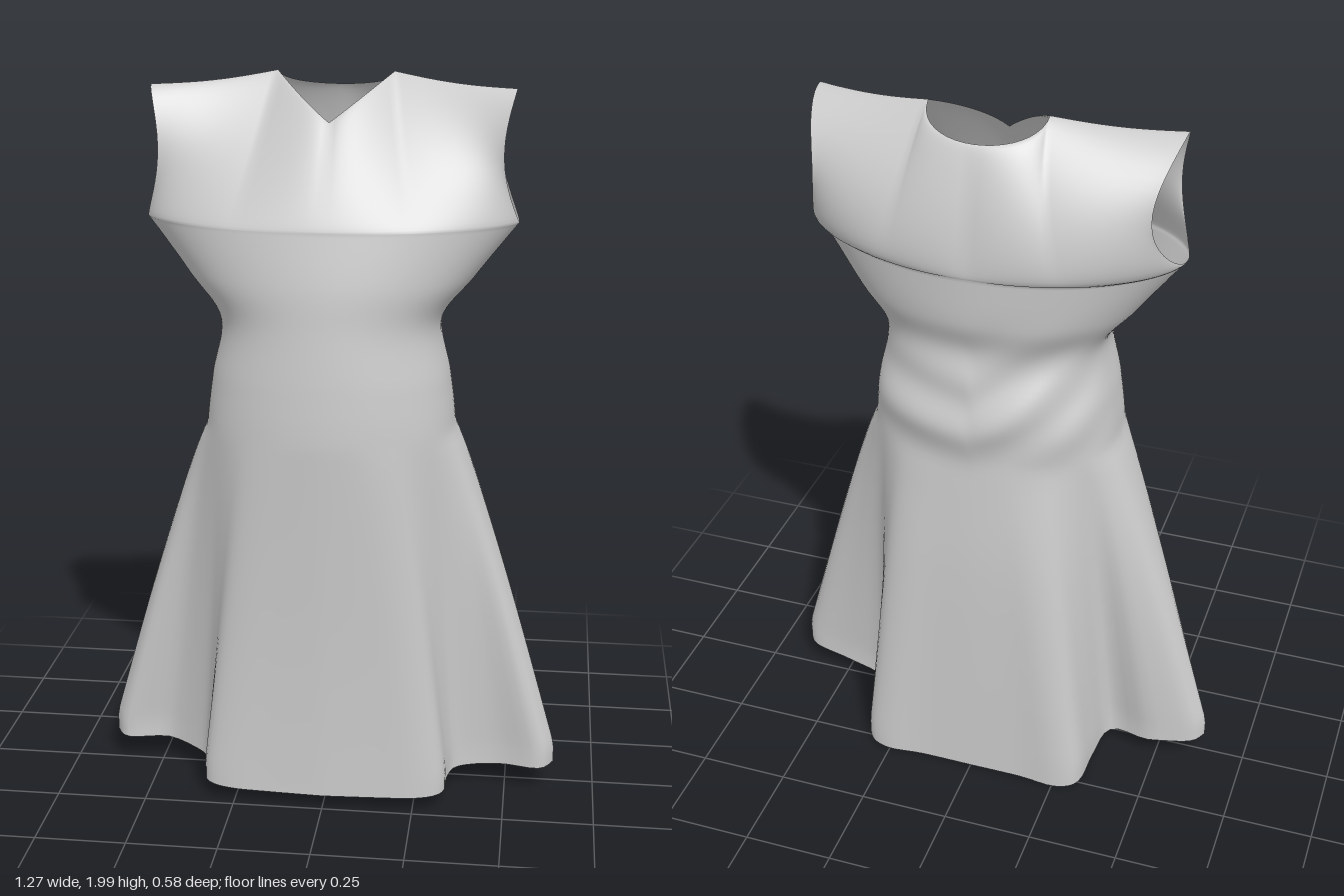
import * as THREE from 'three';
import { mergeGeometries, mergeVertices } from 'three/addons/utils/BufferGeometryUtils.js';

const V2 = (p) => new THREE.Vector2(...p);
const { lerp, smoothstep, clamp } = THREE.MathUtils;

// Levels from hem to underarm: y, half width, front depth, back depth, side sharpness
const levels = [
  [0, 0.34, 0.25, 0.28, 0.8], [0.35, 0.345, 0.265, 0.28, 0.8], [0.7, 0.345, 0.28, 0.275, 0.8],
  [1.03, 0.34, 0.288, 0.258, 0.8], [1.2, 0.322, 0.283, 0.272, 0.8], [1.36, 0.297, 0.27, 0.235, 0.8],
  [1.48, 0.385, 0.26, 0.265, 0.95], [1.62, 0.495, 0.235, 0.278, 1.2],
];
const column = (i) => new THREE.SplineCurve(levels.map((l) => V2([l[i], l[0]])));
const [widthCurve, frontCurve, backCurve, sharpCurve] = [1, 2, 3, 4].map(column);

// Hem outline from centre to side: a flat panel, a deep fold, then a narrow side flare
const hemFront = new THREE.SplineCurve([[0, 0.25], [0.15, 0.243], [0.27, 0.236], [0.332, 0.205],
  [0.34, 0.13], [0.37, 0.075], [0.48, 0.06], [0.595, 0.088], [0.636, 0.04]].map(V2));
const hemBack = new THREE.SplineCurve([[0, -0.28], [0.15, -0.28], [0.26, -0.288], [0.322, -0.255],
  [0.335, -0.15], [0.36, -0.05], [0.48, -0.02], [0.6, 0.0], [0.636, 0.04]].map(V2));

// Skirt and bodice; u runs -1..1 across a half, t 0..1 from hem to underarm
function lowerPoint(u, t, front) {
  const s = Math.abs(u), side = Math.sign(u), a = s * Math.PI / 2;
  const { x: w, y: y0 } = widthCurve.getPoint(t);
  const depth = front ? frontCurve.getPoint(t).x : -backCurve.getPoint(t).x;
  const c = Math.max(0, Math.cos(a));
  let x = w * Math.sin(a);
  let z = depth * Math.pow(c, sharpCurve.getPoint(t).x);
  // flare out toward the folded hem
  const k = Math.pow(clamp((1.06 - y0) / 1.0, 0, 1), 0.9);
  const hem = (front ? hemFront : hemBack).getPoint(s);
  const twist = side < 0 ? -0.06 * smoothstep(hem.x, 0.34, 0.5) : 0;
  x = lerp(x, hem.x, k);
  z = lerp(z, hem.y + twist, k);
  // hem dips at the centre, lowest at the back
  const low = front ? lerp(0.045, 0.085, smoothstep(s, 0.1, 1)) : lerp(0.005, 0.085, smoothstep(s, 0.2, 1));
  const y = y0 + low * Math.max(0, 1 - y0 / 1.1);
  // gathered cloth at the back of the waist
  if (!front) {
    const gather = Math.exp(-(((y0 - 1.25) / 0.15) ** 2)) * (1 - s ** 4);
    z += 0.01 * gather * Math.sin(32 * y0 - 16 * x + 5 * u);
  }
  return [side * x, y, z];
}

// Top edge: neckline first, then the shoulder seam
const NECK = 10 / 32;
function topEdge(s, front) {
  if (s > NECK) {
    const q = (s - NECK) / (1 - NECK);
    return [lerp(0.155, 0.48, q), lerp(1.997, 1.965, q) - 0.008 * Math.sin(q * Math.PI), lerp(-0.09, -0.005, q)];
  }
  const q = s / NECK, b = q * Math.PI / 2;
  return front
    ? [0.155 * q, 1.88 + 0.117 * q, 0.07 - 0.16 * Math.pow(q, 1.6)]
    : [0.155 * Math.sin(b), 1.95 + 0.047 * q * q, -0.09 - 0.115 * Math.cos(b)];
}

// Yoke from underarm to shoulder; its outer edges are the armholes
function yokePoint(u, t, front) {
  const s = Math.abs(u), side = Math.sign(u);
  const v = 0.5 - 0.5 * Math.cos(Math.PI * t);
  const base = lowerPoint(u, 1, front), top = topEdge(s, front);
  const arc = Math.max(0, Math.sin(Math.PI * v));
  const bulge = front ? 0.015 + 0.055 * s * s : -(0.02 + 0.155 * s);
  const pinch = (front ? 0.035 : 0.05) * s * s * arc;
  return [
    side * (lerp(Math.abs(base[0]), top[0], v) - pinch),
    lerp(base[1], top[1], v),
    lerp(base[2], top[2], v) + bulge * Math.pow(arc, 0.55),
  ];
}

// Grid surface over u (-1..1) and t (t0..t1)
function sheet(fn, front, t0, t1, rows, cols = 64) {
  const pos = [], index = [];
  for (let j = 0; j <= rows; j++) {
    for (let i = 0; i <= cols; i++) {
      const u = (i / cols) * 2 - 1;
      pos.push(...fn(u, lerp(t0, t1, j / rows), front));
      if (i < cols && j < rows) {
        const a = j * (cols + 1) + i, b = a + 1, c = a + cols + 1, d = c + 1;
        index.push(...(front ? [a, b, d, a, d, c] : [a, d, b, a, c, d]));
      }
    }
  }
  const g = new THREE.BufferGeometry();
  g.setAttribute('position', new THREE.Float32BufferAttribute(pos, 3));
  g.setIndex(index);
  return g;
}

export function createModel() {
  const group = new THREE.Group();
  group.name = 'dress';
  const material = new THREE.MeshStandardMaterial({ color: 0xcccccc, side: THREE.DoubleSide });
  const waist = 5 / 7;
  const parts = [
    ['skirtFront', lowerPoint, true, 0, waist, 50], ['skirtBack', lowerPoint, false, 0, waist, 50],
    ['bodiceFront', lowerPoint, true, waist, 1, 20], ['bodiceBack', lowerPoint, false, waist, 1, 20],
    ['yokeFront', yokePoint, true, 0, 1, 20], ['yokeBack', yokePoint, false, 0, 1, 20],
  ];
  // weld all panels so the shading runs smoothly over the seams
  const sheets = parts.map(([, ...args]) => sheet(...args));
  const cloth = mergeVertices(mergeGeometries(sheets), 1e-5);
  cloth.computeVertexNormals();
  let start = 0;
  parts.forEach(([name], i) => {
    const count = sheets[i].index.count;
    const g = new THREE.BufferGeometry();
    g.setAttribute('position', cloth.attributes.position);
    g.setAttribute('normal', cloth.attributes.normal);
    g.setIndex(Array.from(cloth.index.array.slice(start, start + count)));
    start += count;
    const mesh = new THREE.Mesh(g, material);
    mesh.name = name;
    group.add(mesh);
  });
  return group;
}
